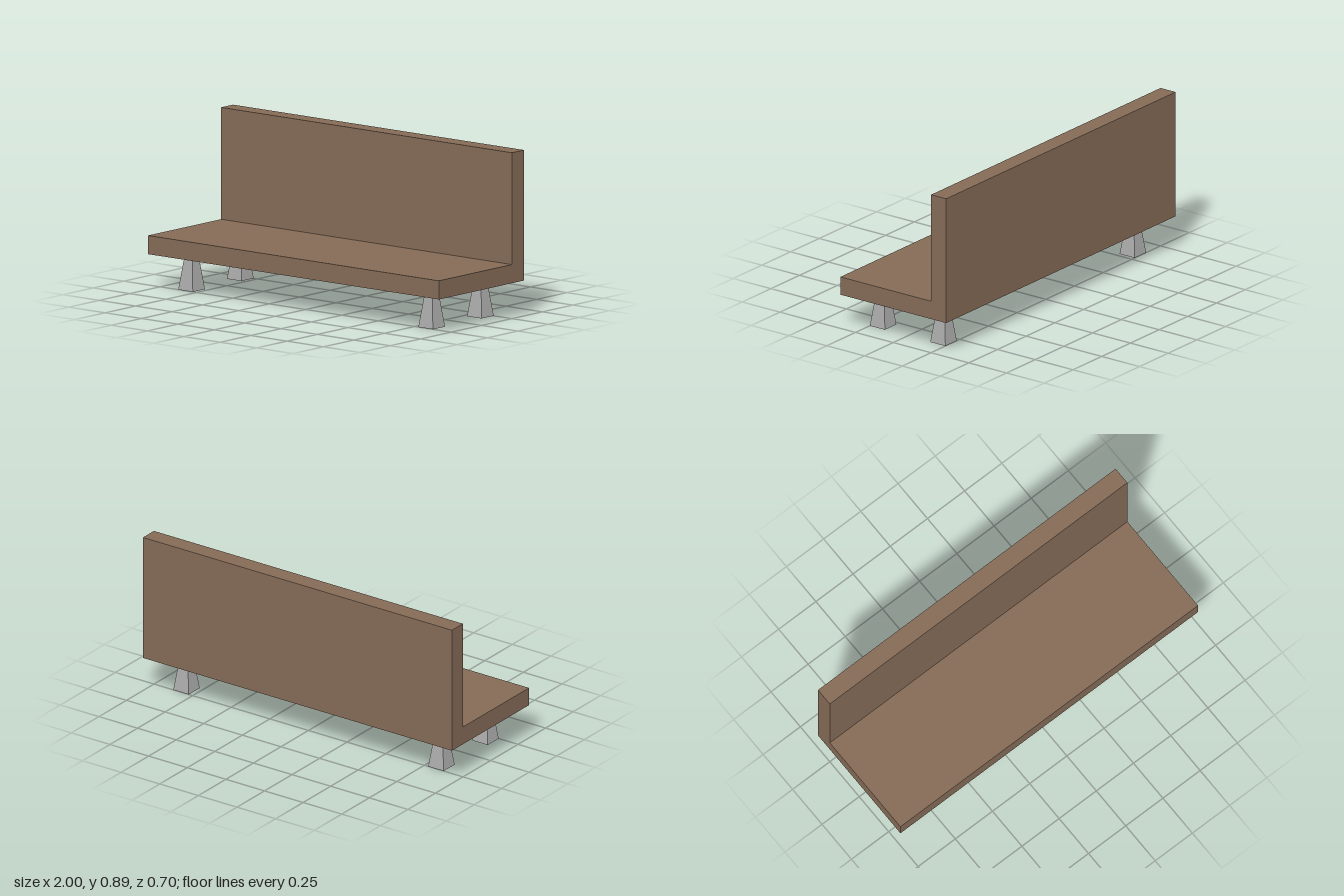
import * as THREE from 'three';

export function createModel() {
  const wood = new THREE.MeshStandardMaterial({ color: 0x846b57 });
  wood.name = 'brown wood';
  const metal = new THREE.MeshStandardMaterial({ color: 0xaaaaaa });
  metal.name = 'grey metal';

  const bench = new THREE.Group();
  bench.name = 'bench';

  // Seat and backrest: one L-shaped section (z, y) swept along the width
  const width = 2;
  const section = new THREE.Shape([
    [-0.35, 0.19], [0.35, 0.19], [0.35, 0.29],
    [-0.25, 0.29], [-0.25, 0.89], [-0.35, 0.89],
  ].map(([z, y]) => new THREE.Vector2(-z, y)));
  const bodyGeometry = new THREE.ExtrudeGeometry(section, { depth: width, bevelEnabled: false });
  bodyGeometry.translate(0, 0, -width / 2).rotateY(Math.PI / 2);
  const body = new THREE.Mesh(bodyGeometry, wood);
  body.name = 'seatAndBackrest';
  bench.add(body);

  // Four square legs, tapering towards the seat
  const legHeight = 0.19;
  const legGeometry = new THREE.CylinderGeometry(0.05 / Math.SQRT2, 0.1 / Math.SQRT2, legHeight, 4)
    .rotateY(Math.PI / 4)
    .toNonIndexed();
  legGeometry.computeVertexNormals();
  for (const [side, x] of [['Left', 0.825], ['Right', -0.825]]) {
    for (const [end, z] of [['front', 0.2], ['back', -0.2]]) {
      const leg = new THREE.Mesh(legGeometry, metal);
      leg.name = `${end}${side}Leg`;
      leg.position.set(x, legHeight / 2, z);
      bench.add(leg);
    }
  }

  return bench;
}
